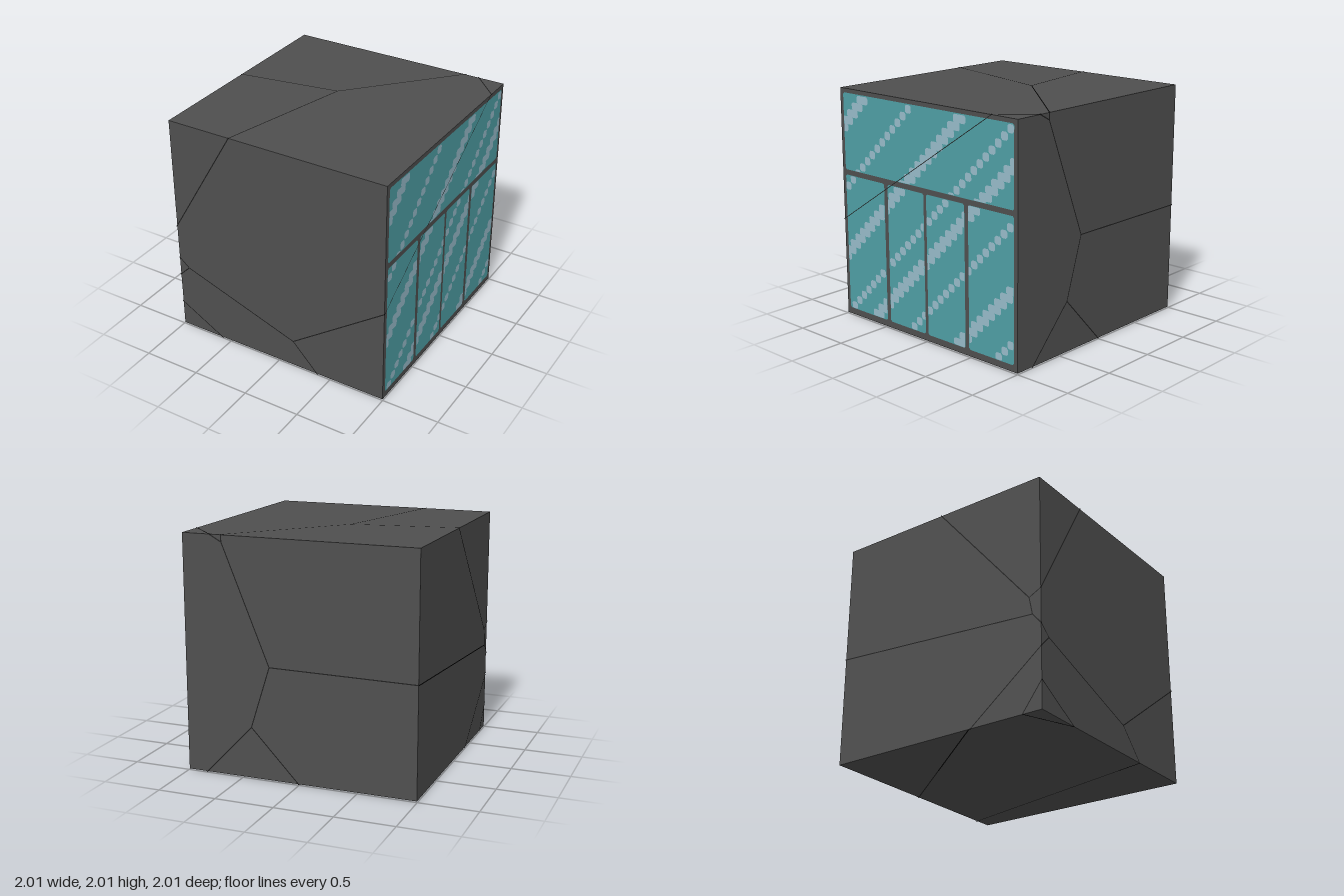
import * as THREE from 'three';
import { mergeGeometries } from 'three/addons/utils/BufferGeometryUtils.js';

const flat = (name, color) => {
  const m = new THREE.MeshStandardMaterial({ color });
  m.name = name;
  return m;
};

// Rectangle with cut corners, limited to the bounds [u0, v0, u1, v1]
function chip(u, v, w, h, cut, bounds) {
  const a = w / 2, b = h / 2;
  const corners = [[a - cut, -b], [a, cut - b], [a, b - cut], [a - cut, b],
    [cut - a, b], [-a, b - cut], [-a, cut - b], [cut - a, -b]];
  return new THREE.ShapeGeometry(new THREE.Shape(corners.map(([x, y]) => {
    const p = new THREE.Vector2(u + x, v + y);
    return bounds ? p.clamp(new THREE.Vector2(bounds[0], bounds[1]), new THREE.Vector2(bounds[2], bounds[3])) : p;
  })));
}

// Thin straight strip from one point to another
function strip([u0, v0, u1, v1], width) {
  const g = new THREE.PlaneGeometry(Math.hypot(u1 - u0, v1 - v0), width);
  g.rotateZ(Math.atan2(v1 - v0, u1 - u0));
  g.translate((u0 + u1) / 2, (v0 + v1) / 2, 0);
  return g;
}

export function createModel() {
  const stone = flat('dark grey stone', 0x4f4f4f);
  const crackMat = flat('crack black', 0x1e1e1e);
  const glass = flat('teal glass', 0x4f9fa5);
  const shine = flat('pale glass shine', 0x98bccb);

  const model = new THREE.Group();
  model.name = 'crackedBlock';
  const add = (parent, name, geometry, material, z = 0) => {
    const mesh = new THREE.Mesh(geometry, material);
    mesh.name = name;
    mesh.position.z = z;
    parent.add(mesh);
    return mesh;
  };

  // Solid block
  add(model, 'block', new THREE.BoxGeometry(1.992, 1.992, 1.992), stone).position.y = 1;

  // Cracks of each side, as [u0, v0, u1, v1] in that side's own plane
  const sides = [
    { name: 'front', turn: [0, 0], lines: [
      [-1, 1, -0.41, 2], [-1, 0.7, -0.9, 0.615], [-1, 0.515, -0.9, 0.615], [-0.9, 0.615, 0.145, 0.25],
      [0.145, 0.25, 1, 0.855], [0.145, 0.25, 0.38, 0], [-1, 0.24, -0.58, 0]] },
    { name: 'windowSide', turn: [0, Math.PI / 2], lines: [[-1, 0.855, 0.74, 2]] },
    { name: 'back', turn: [0, Math.PI], lines: [
      [-0.76, 2, -0.65, 1.94], [-0.65, 2, -0.65, 1.94], [-0.65, 1.94, -0.25, 0.955], [-0.25, 0.955, 1, 0.943],
      [-0.25, 0.955, -0.415, 0.437], [-0.415, 0.437, -0.83, 0], [-0.415, 0.437, 0, 0]] },
    { name: 'plainSide', turn: [0, -Math.PI / 2], lines: [
      [0, 2, 0.89, 0.945], [0.89, 0.945, 1, 1], [0.89, 0.945, 0.92, 0.795], [-1, 0.943, 0.92, 0.795],
      [0.92, 0.795, 1, 0.7], [0.34, 0, 1, 0.515], [0.82, 0, 1, 0.24]] },
    { name: 'top', turn: [-Math.PI / 2, 0], lines: [
      [-1, 0, -0.12, 0.145], [-0.12, 0.145, 0.65, 1], [-0.12, 0.145, -0.41, -1], [0.76, 1, 1, 0.75]] },
    { name: 'bottom', turn: [Math.PI / 2, 0], lines: [
      [0.83, -1, 0.38, 1], [0, -1, -1, 0.33], [-0.58, 1, -1, 0.83]] },
  ];
  const groups = {};
  for (const { name, turn, lines } of sides) {
    const side = new THREE.Group();
    side.name = name;
    side.rotation.set(turn[0], turn[1], 0);
    if (turn[0]) side.position.y = 1;
    const width = name === 'windowSide' ? 0.006 : 0.009;
    add(side, name + 'Cracks', mergeGeometries(lines.map((l) => strip(l, width))), crackMat, 1);
    model.add(side);
    groups[name] = side;
  }

  // One wide pane above four tall panes
  const panes = [[-0.96, 1.3, 0.96, 1.96], [-0.96, 0.06, -0.48, 1.255], [-0.44, 0.06, -0.015, 1.255],
    [0.015, 0.06, 0.44, 1.255], [0.48, 0.06, 0.96, 1.255]];
  // Stepped diagonal shine: [offset u - v, chip width]
  const bands = [[-2.64, 0.135], [-2.09, 0.068], [-1.52, 0.135], [-0.99, 0.068],
    [-0.68, 0.135], [-0.24, 0.068], [0.29, 0.135], [0.71, 0.068]];
  const step = 0.063;
  panes.forEach((b, i) => {
    const [u0, v0, u1, v1] = b;
    add(groups.windowSide, 'pane' + (i + 1),
      chip((u0 + u1) / 2, (v0 + v1) / 2, u1 - u0, v1 - v0, 0.014), glass, 0.9975);
    const inner = [u0 + 0.003, v0 + 0.003, u1 - 0.003, v1 - 0.003];
    const chips = [];
    for (const [offset, w] of bands) {
      for (let v = 0.09; v < 2; v += step) {
        const u = v + offset;
        const inside = u + w / 2 > u0 + 0.02 && u - w / 2 < u1 - 0.02 && v + 0.034 > v0 + 0.015 && v - 0.034 < v1 - 0.015;
        if (inside) chips.push(chip(u, v, w, 0.068, 0.014, inner));
      }
    }
    add(groups.windowSide, 'paneShine' + (i + 1), mergeGeometries(chips), shine, 0.9988);
  });

  return model;
}
